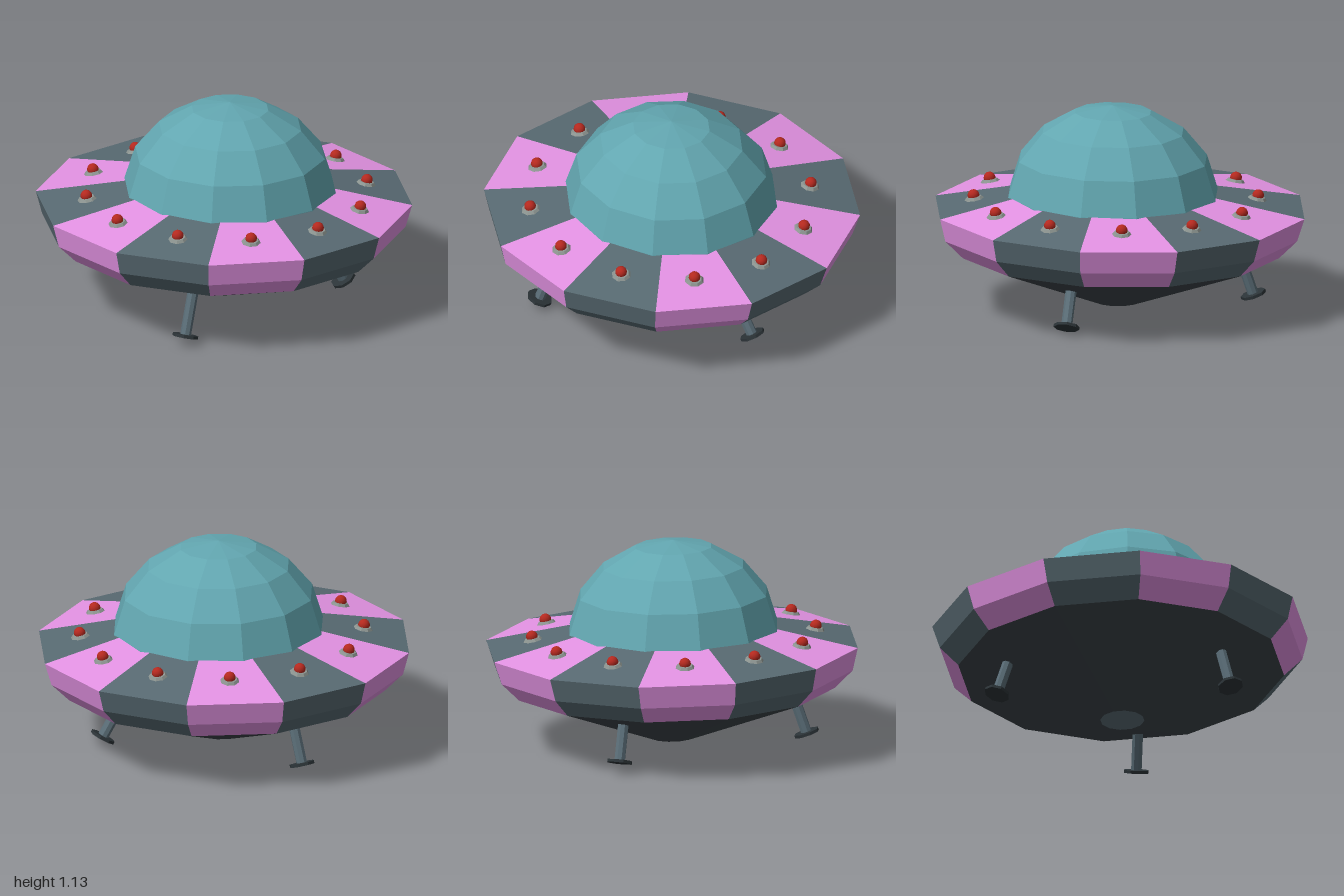
import * as THREE from 'three';

const SIDES = 12;
const STEP = (Math.PI * 2) / SIDES;
const TILT_X = -0.018, TILT_Z = 0.011; // the saucer sits slightly askew
const HULL_TURN = THREE.MathUtils.degToRad(12.4);
const DOME_TURN = THREE.MathUtils.degToRad(17.5);

const paint = (color) => new THREE.MeshStandardMaterial({ color, flatShading: true, side: THREE.DoubleSide });
const pink = paint(0xe392e3), slate = paint(0x586a72), dark = paint(0x3b4348);
const glass = paint(0x62a6b0), metal = paint(0x5a6d77), grey = paint(0x8c9490), footDark = paint(0x2c3438);
const red = new THREE.MeshStandardMaterial({ color: 0xb5291f });

// A point on a tilted ring: [radius, height, centre x, centre z]
function ringPoint([r, y, cx, cz], angle) {
  const x = cx + r * Math.cos(angle), z = cz + r * Math.sin(angle);
  return [x, y + TILT_X * x + TILT_Z * z, z];
}

// Flat facets between successive rings (listed top to bottom) for the chosen sectors
function facets(name, rings, turn, material, useSector = () => true) {
  const pos = [];
  for (let k = 0; k < SIDES; k++) {
    if (!useSector(k)) continue;
    const t0 = turn + k * STEP, t1 = t0 + STEP;
    for (let i = 0; i < rings.length - 1; i++) {
      const a = ringPoint(rings[i], t0), d = ringPoint(rings[i], t1);
      const b = ringPoint(rings[i + 1], t0), c = ringPoint(rings[i + 1], t1);
      if (rings[i][0] > 0) pos.push(...a, ...d, ...c);
      if (rings[i + 1][0] > 0) pos.push(...a, ...c, ...b);
      else if (rings[i][0] === 0) continue;
    }
  }
  const geometry = new THREE.BufferGeometry();
  geometry.setAttribute('position', new THREE.Float32BufferAttribute(pos, 3));
  geometry.computeVertexNormals();
  const mesh = new THREE.Mesh(geometry, material);
  mesh.name = name;
  return mesh;
}

function part(name, geometry, material, y = 0) {
  const mesh = new THREE.Mesh(geometry, material);
  mesh.name = name;
  mesh.position.y = y;
  return mesh;
}

// Red bulb on an eight-sided grey base, lying on the sloped top panels
function makeLight(k) {
  const light = new THREE.Group();
  light.name = 'rimLight' + (k + 1);
  const angle = THREE.MathUtils.degToRad(27.7) + k * STEP;
  light.add(
    part('lightBase', new THREE.CylinderGeometry(0.042, 0.053, 0.014, 8), grey, 0.007),
    part('lightBulb', new THREE.SphereGeometry(0.032, 12, 8), red, 0.022)
  );
  light.position.set(...ringPoint([0.765, 0.622, 0, 0.023], angle));
  const normal = new THREE.Vector3(0.2 * Math.cos(angle) - TILT_X, 1, 0.2 * Math.sin(angle) - TILT_Z).normalize();
  light.quaternion.setFromUnitVectors(new THREE.Vector3(0, 1, 0), normal);
  return light;
}

// Splayed strut with a flat round foot square to it
function makeLeg(name, foot, top) {
  const leg = new THREE.Group();
  leg.name = name;
  const from = new THREE.Vector3(...foot), axis = new THREE.Vector3(...top).sub(from);
  const length = axis.length() * 1.2;
  leg.add(
    part('strut', new THREE.CylinderGeometry(0.03, 0.03, length, 8), metal, length / 2),
    part('foot', new THREE.CylinderGeometry(0.07, 0.07, 0.016, 8), footDark)
  );
  leg.position.copy(from);
  leg.quaternion.setFromUnitVectors(new THREE.Vector3(0, 1, 0), axis.normalize());
  return leg;
}

export function createModel() {
  const model = new THREE.Group();
  model.name = 'flyingSaucer';

  // Hull: alternating coloured panels over the top and side
  const panelRings = [
    [0.54, 0.668, 0.01, 0.035],
    [1.02, 0.576, 0, 0],
    [0.985, 0.45, -0.005, 0.005],
    [0.885, 0.35, -0.005, 0.005]
  ];
  model.add(
    facets('slatePanels', panelRings, HULL_TURN, slate, (k) => k % 2 === 0),
    facets('pinkPanels', panelRings, HULL_TURN, pink, (k) => k % 2 === 1)
  );

  // Underside cone with a small recess at its tip
  const tip = [0.12, 0.058, 0.005, 0.015];
  model.add(
    facets('underside', [panelRings[3], tip], HULL_TURN, dark),
    facets('bottomRecess', [tip, [0, 0.12, 0.005, 0.015]], HULL_TURN, slate)
  );

  // Dome, carried slightly below the panels
  const domeProfile = [[0, 1.145], [0.21, 1.11], [0.39, 1.005], [0.52, 0.85], [0.58, 0.66], [0.582, 0.63]];
  model.add(facets('dome', domeProfile.map(([r, y]) => [r, y, 0.012, 0.038]), DOME_TURN, glass));

  for (let k = 0; k < SIDES; k++) model.add(makeLight(k));

  model.add(
    makeLeg('leftLeg', [0.59, 0.052, 0.29], [0.49, 0.23, 0.265]),
    makeLeg('rightLeg', [-0.595, 0.06, 0.43], [-0.53, 0.26, 0.405]),
    makeLeg('backLeg', [-0.06, 0.08, -0.72], [-0.05, 0.26, -0.66])
  );
  return model;
}
